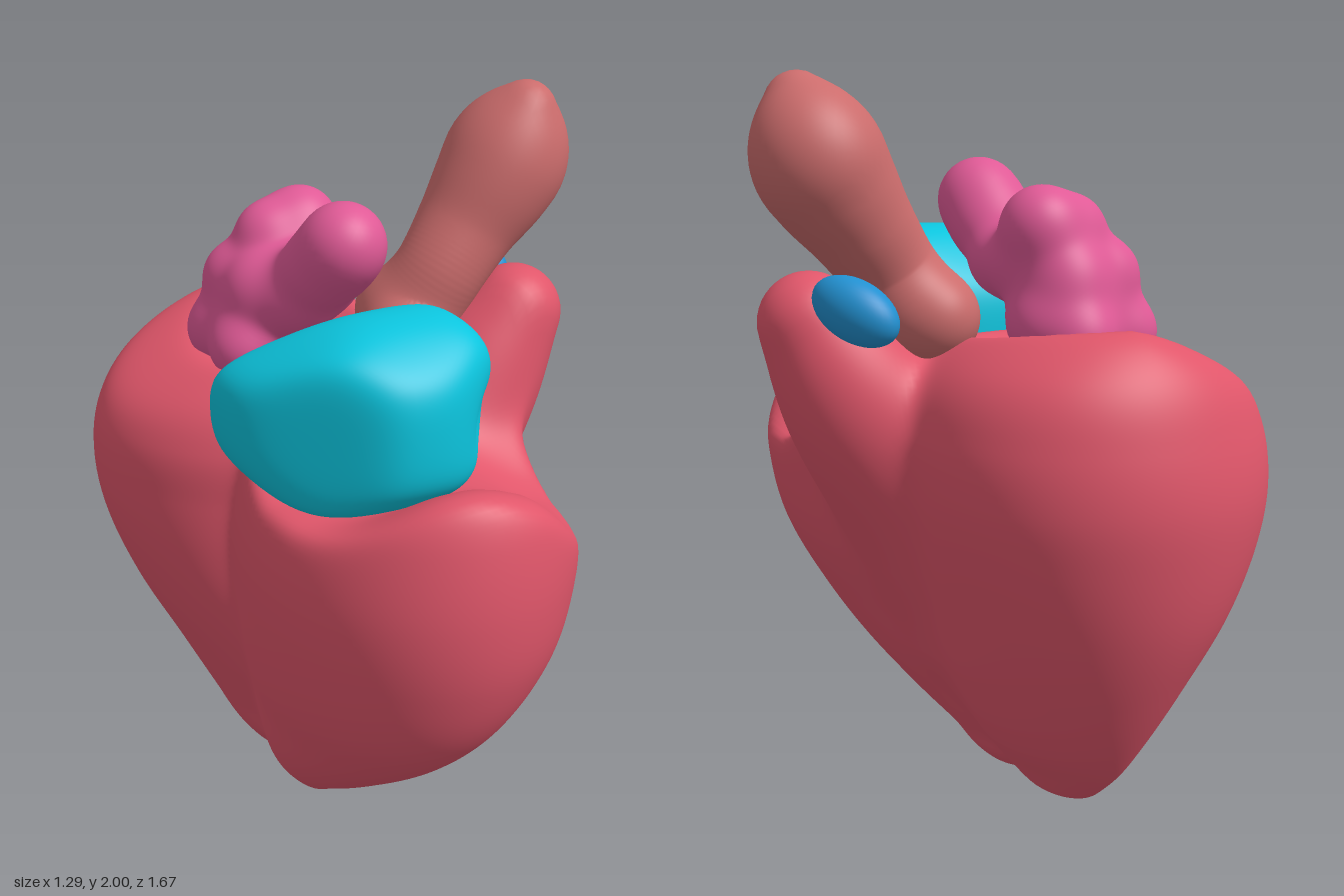
import * as THREE from 'three';
import { mergeVertices } from 'three/addons/utils/BufferGeometryUtils.js';

const smooth = THREE.MathUtils.smoothstep;
// Soft union of any number of distances, and soft intersection
const soften = (ds, k) => {
  const m = Math.min(...ds);
  return m - k * Math.log(ds.reduce((s, d) => s + Math.exp((m - d) / k), 0));
};
const softMax = (ds, k) => -soften(ds.map(d => -d), k);
const ball = (x, y, z, [bx, by, bz, r]) => Math.hypot(x - bx, y - by, z - bz) - r;
const blob = (balls, k) => (x, y, z) => soften(balls.map(b => ball(x, y, z, b)), k);

// Tube with changing radius through points x, y, z, r
function sweep(points) {
  const spline = new THREE.CubicInterpolant(points.map((p, i) => i), points.flat(), 4);
  const n = 60;
  const balls = Array.from({ length: n + 1 }, (_, i) =>
    [...spline.evaluate(i / n * (points.length - 1))]);
  return (x, y, z) => balls.reduce((d, b) => Math.min(d, ball(x, y, z, b)), 9);
}

// Lobe from elliptical sections, each row being y, xMin, xMax, zMin, zMax
function lobe(rows) {
  const spline = new THREE.CubicInterpolant(rows.map(r => r[0]), rows.flatMap(r => r.slice(1)), 4);
  const y0 = rows[0][0], y1 = rows[rows.length - 1][0];
  return (x, y, z) => {
    const [xa, xb, za, zb] = spline.evaluate(THREE.MathUtils.clamp(y, y0, y1));
    const rx = Math.max((xb - xa) / 2, 0.01), rz = Math.max((zb - za) / 2, 0.01);
    const d = (Math.hypot((x - (xa + xb) / 2) / rx, (z - (za + zb) / 2) / rz) - 1) * Math.min(rx, rz);
    return softMax([d, y0 - y, y - y1], 0.008);
  };
}

// Shrink a fine sphere around the centre onto the zero surface of a field
function shrinkWrap(name, color, [cx, cy, cz], reach, detail, field) {
  let geo = new THREE.IcosahedronGeometry(1, detail);
  geo.deleteAttribute('normal');
  geo.deleteAttribute('uv');
  geo = mergeVertices(geo, 1e-5);
  const pos = geo.attributes.position, step = reach / 120;
  for (let i = 0; i < pos.count; i++) {
    const u = pos.getX(i), v = pos.getY(i), w = pos.getZ(i);
    const at = r => field(cx + u * r, cy + v * r, cz + w * r);
    let hi = reach;
    while (hi > step && at(hi - step) > 0) hi -= step;
    let lo = hi - step;
    for (let n = 0; n < 10; n++) {
      const mid = (lo + hi) / 2;
      if (at(mid) > 0) hi = mid; else lo = mid;
    }
    pos.setXYZ(i, cx + u * hi, cy + v * hi, cz + w * hi);
  }
  geo.computeVertexNormals();
  const mesh = new THREE.Mesh(geo, new THREE.MeshStandardMaterial({ color }));
  mesh.name = name;
  return mesh;
}

export function createModel() {
  const group = new THREE.Group();
  group.name = 'heart';

  // Rear ventricle: top sloping down to the right, with a shallow crater
  const rear = lobe([
    [0.015, -0.25, -0.1, -0.39, -0.13],
    [0.1, -0.31, -0.03, -0.48, -0.04],
    [0.2, -0.36, 0.05, -0.56, 0],
    [0.4, -0.46, 0.15, -0.68, 0.08],
    [0.6, -0.56, 0.22, -0.77, 0.1],
    [0.8, -0.63, 0.28, -0.82, 0.1],
    [0.95, -0.65, 0.31, -0.835, 0.1],
    [1.1, -0.635, 0.31, -0.815, 0.1],
    [1.25, -0.56, 0.25, -0.765, 0.04],
    [1.34, -0.45, 0.14, -0.695, -0.06],
    [1.4, -0.32, 0.02, -0.62, -0.22],
  ]);
  const rearTop = x => 1.4 - 0.45 * Math.max(0, -0.12 - x);
  const crater = (x, y, z) =>
    (Math.hypot((x + 0.16) / 0.3, (y - 1.41) / 0.17, (z + 0.25) / 0.31) - 1) * 0.17;

  // Front ventricle, with a raised front lip and a hollow behind it
  const front = lobe([
    [0, -0.23, -0.12, -0.1, 0.09],
    [0.05, -0.27, -0.07, -0.14, 0.15],
    [0.1, -0.3, -0.04, -0.17, 0.23],
    [0.2, -0.34, 0.04, -0.2, 0.38],
    [0.35, -0.38, 0.15, -0.24, 0.58],
    [0.5, -0.42, 0.24, -0.26, 0.72],
    [0.7, -0.45, 0.34, -0.27, 0.81],
    [0.9, -0.46, 0.385, -0.27, 0.835],
    [1.1, -0.43, 0.4, -0.25, 0.81],
    [1.25, -0.4, 0.4, -0.22, 0.76],
  ]);
  const frontTop = (x, z) => 1.07
    + 0.15 * smooth(z, 0.4, 0.72) * Math.exp(-(((x + 0.08) / 0.27) ** 2))
    - 0.1 * smooth(x, 0.08, 0.35) * smooth(z, 0.1, 0.4)
    + 0.08 * (1 - smooth(z, 0, 0.3));

  // Horn rising on the left side
  const horn = sweep([
    [0.02, 0.52, -0.03, 0.15], [0.15, 0.78, -0.05, 0.185],
    [0.33, 1.12, -0.055, 0.205], [0.47, 1.36, -0.02, 0.135],
  ]);

  group.add(shrinkWrap('ventricles', 0xe0566a, [-0.08, 0.5, -0.08], 1.4, 58, (x, y, z) => {
    const a = softMax([
      softMax([rear(x, y, z), (y - rearTop(x)) * 0.9], 0.03), -crater(x, y, z)], 0.02);
    const b = softMax([front(x, y, z), (y - frontTop(x, z)) * 0.8], 0.02);
    const c = soften([b, horn(x, y, z)], 0.035);
    return soften([a, c], 0.012 + 0.022 * smooth(x, -0.1, 0.15));
  }));

  // Rounded chamber over the front hollow: soft planes (normal, distance), dented on its left
  const mid = [-0.15, 1.3, 0.31];
  const planes = [
    [-1, 0, 0, 0.36], [1, 0, 0, 0.315], [0, 0, -1, 0.24], [0, 0, 1, 0.28],
    [0, 1, 0, 0.265], [0, -1, 0, 0.245], [-0.72, 0, 0.69, 0.235], [0.75, 0, -0.66, 0.245],
    [0.6, 0, 0.8, 0.295], [-0.5, 0.87, 0, 0.27], [0.6, -0.8, 0, 0.27], [0, 0.8, 0.6, 0.28],
    [0, 0.75, -0.66, 0.235], [0, -0.8, 0.6, 0.28], [-0.7, -0.7, 0, 0.33], [0.75, 0.66, 0, 0.335],
  ];
  group.add(shrinkWrap('frontChamber', 0x0cc5de, mid, 0.6, 24, (x, y, z) => {
    const hull = planes.map(([a, b, c, d]) =>
      a * (x - mid[0]) + b * (y - mid[1]) + c * (z - mid[2]) - d);
    return softMax([...hull, -ball(x, y, z, [0.19, 1.27, 0.51, 0.11])], 0.028);
  }));

  // Two-pronged vessel filling the crater
  group.add(shrinkWrap('forkedVessel', 0xe05a96, [-0.14, 1.46, -0.2], 0.7, 26, blob([
    [-0.28, 1.32, -0.36, 0.09], [-0.1, 1.33, -0.42, 0.09], [-0.28, 1.32, -0.19, 0.09],
    [-0.04, 1.36, -0.34, 0.09], [-0.19, 1.36, -0.3, 0.12], [-0.24, 1.48, -0.34, 0.08],
    [-0.1, 1.47, -0.36, 0.1], [-0.04, 1.5, -0.25, 0.08], [-0.22, 1.47, -0.2, 0.09],
    [-0.05, 1.61, -0.31, 0.1], [-0.16, 1.6, -0.3, 0.075], [-0.15, 1.47, -0.12, 0.1],
    [-0.05, 1.5, -0.13, 0.08], [-0.13, 1.57, -0.03, 0.085], [-0.07, 1.58, -0.02, 0.08],
    [-0.09, 1.65, 0.05, 0.11],
  ], 0.03)));

  // Thick leaning vessel with a broad foot
  const stem = sweep([
    [0.14, 1.31, -0.02, 0.1], [0.2, 1.38, -0.1, 0.125], [0.27, 1.5, -0.08, 0.125],
    [0.36, 1.62, -0.09, 0.14], [0.44, 1.73, -0.09, 0.165], [0.48, 1.8, -0.09, 0.165],
    [0.505, 1.915, -0.05, 0.085],
  ]);
  const foot = blob([[0.125, 1.3, 0.01, 0.1], [0.14, 1.33, -0.07, 0.09], [0.17, 1.37, -0.16, 0.11]], 0.025);
  group.add(shrinkWrap('leaningVessel', 0xcb6c6c, [0.27, 1.5, -0.08], 0.7, 28, (x, y, z) =>
    soften([stem(x, y, z), foot(x, y, z)], 0.02)));

  // Small flattened bead behind the horn tip
  const bead = new THREE.Mesh(new THREE.SphereGeometry(1, 32, 20),
    new THREE.MeshStandardMaterial({ color: 0x2290d0 }));
  bead.name = 'bead';
  bead.position.set(0.44, 1.415, -0.22);
  bead.scale.set(0.07, 0.08, 0.125);
  bead.quaternion.setFromUnitVectors(new THREE.Vector3(0, 0, 1),
    new THREE.Vector3(0.5, 0.4, 0.75).normalize());
  group.add(bead);

  return group;
}
